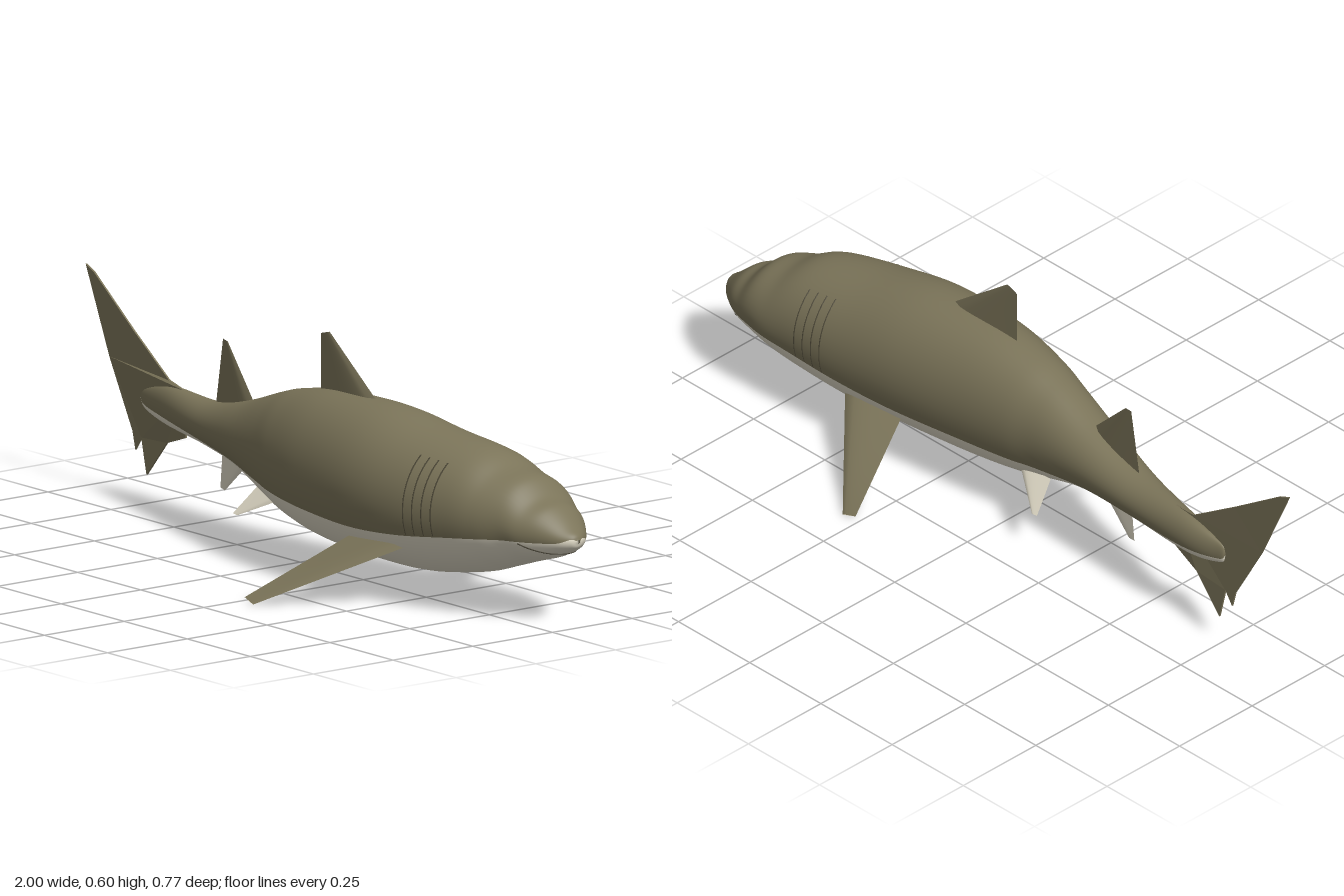
import * as THREE from 'three';

const mat = (name, color) =>
  new THREE.MeshStandardMaterial({ name, color, side: THREE.DoubleSide });

// Body stations: x, top, bottom, right edge z, left edge z, height of the colour line
const STATIONS = [
  [-0.765, 0.275, 0.262, -0.110, -0.105, 0.268],
  [-0.745, 0.296, 0.238, -0.119, -0.099, 0.252],
  [-0.64, 0.318, 0.216, -0.138, -0.070, 0.243],
  [-0.43, 0.321, 0.208, -0.130, -0.010, 0.231],
  [-0.25, 0.360, 0.188, -0.125, 0.042, 0.216],
  [-0.10, 0.410, 0.140, -0.127, 0.083, 0.200],
  [0.00, 0.438, 0.110, -0.139, 0.112, 0.190],
  [0.15, 0.459, 0.085, -0.155, 0.141, 0.182],
  [0.36, 0.460, 0.073, -0.178, 0.158, 0.175],
  [0.54, 0.433, 0.073, -0.190, 0.145, 0.184],
  [0.70, 0.408, 0.096, -0.198, 0.108, 0.200],
  [0.78, 0.372, 0.120, -0.200, 0.080, 0.207],
  [0.84, 0.352, 0.140, -0.193, 0.050, 0.211],
  [0.885, 0.312, 0.154, -0.180, 0.028, 0.212],
  [0.925, 0.292, 0.166, -0.162, 0.002, 0.212],
  [0.97, 0.252, 0.186, -0.130, -0.035, 0.214],
  [0.993, 0.234, 0.200, -0.103, -0.060, 0.224],
  [1.0, 0.222, 0.214, -0.088, -0.076, 0.220],
];
const spline = (a, b, c) => new THREE.CatmullRomCurve3(
  STATIONS.map((s) => new THREE.Vector3(s[a], s[b], s[c])), false, 'catmullrom', 0.5);
const heights = spline(0, 1, 2);
const widths = spline(3, 4, 5);

function section(t) {
  const p = heights.getPoint(t), q = widths.getPoint(t);
  const cy = (p.y + p.z) / 2, h = (p.y - p.z) / 2;
  const cz = (q.x + q.y) / 2, w = (q.y - q.x) / 2;
  const seam = Math.asin(THREE.MathUtils.clamp((q.z - cy) / h, -0.95, 0.95));
  const at = (a, off = 0) =>
    new THREE.Vector3(p.x, cy + (h + off) * Math.sin(a), cz + (w + off) * Math.cos(a));
  return { at, seam, cz };
}

function sectionAtX(x) {
  let lo = 0, hi = 1;
  for (let i = 0; i < 30; i++) {
    const m = (lo + hi) / 2;
    if (heights.getPoint(m).x < x) lo = m; else hi = m;
  }
  return section(lo);
}

const centreZ = (x) => (x < -0.74 ? -0.108 + (x + 0.74) * 0.05 : sectionAtX(x).cz);

// One closed skin; each ring is split at the colour line into back and belly
function bodyGeometry() {
  const rows = 150, back = 28, belly = 24, n = back + belly;
  const pos = [], backIdx = [], bellyIdx = [];
  for (let i = 0; i <= rows; i++) {
    const { at, seam } = section(i / rows);
    const arc = Math.PI - 2 * seam;
    for (let j = 0; j < n; j++) {
      const a = j < back
        ? seam + (arc * j) / back
        : seam + arc + ((2 * Math.PI - arc) * (j - back)) / belly;
      pos.push(...at(a).toArray());
      if (i === rows) continue;
      const k = (j + 1) % n, r = i * n;
      (j < back ? backIdx : bellyIdx).push(
        r + j, r + n + j, r + k, r + k, r + n + j, r + n + k);
    }
  }
  const g = new THREE.BufferGeometry();
  g.setAttribute('position', new THREE.Float32BufferAttribute(pos, 3));
  g.setIndex([...backIdx, ...bellyIdx]);
  g.addGroup(0, backIdx.length, 0);
  g.addGroup(backIdx.length, bellyIdx.length, 1);
  g.computeVertexNormals();
  return g;
}

// Lens-shaped fin between a root chord and a tip chord, one sheet per side
function fin(name, [rootLead, rootTrail, tipLead, tipTrail], thick, matA, matB) {
  const group = new THREE.Group();
  group.name = name;
  const [rl, rt, tl, tt] = [rootLead, rootTrail, tipLead, tipTrail].map((p) => new THREE.Vector3(...p));
  const normal = rt.clone().sub(rl).cross(tl.clone().sub(rl)).normalize();
  if (normal.y < 0) normal.negate();
  for (const side of [1, -1]) {
    const g = new THREE.PlaneGeometry(1, 1, 10, 6);
    const p = g.attributes.position;
    for (let i = 0; i < p.count; i++) {
      const u = p.getX(i) + 0.5, v = p.getY(i) + 0.5;
      const bulge = side * thick * (1 - 0.9 * v) * Math.sin(Math.PI * Math.sqrt(u));
      const q = rl.clone().lerp(rt, u).lerp(tl.clone().lerp(tt, u), v).addScaledVector(normal, bulge);
      p.setXYZ(i, q.x, q.y, q.z);
    }
    g.computeVertexNormals();
    const mesh = new THREE.Mesh(g, side > 0 ? matA : matB);
    mesh.name = name + (side > 0 ? 'FaceA' : 'FaceB');
    group.add(mesh);
  }
  return group;
}

// Fin standing on the curved centre line
const midFin = (name, pts, thick, m) =>
  fin(name, pts.map(([x, y]) => [x, y, centreZ(x)]), thick, m, m);

export function createModel() {
  const model = new THREE.Group();
  model.name = 'shark';
  const olive = mat('oliveSkin', 0x7b7459);
  const cream = mat('creamBelly', 0xdfd9c6);
  const dark = mat('darkCrease', 0x4e4938);
  const add = (name, geometry, material) => {
    const mesh = new THREE.Mesh(geometry, material);
    mesh.name = name;
    model.add(mesh);
  };

  add('body', bodyGeometry(), [olive, cream]);

  // Fins along the middle
  model.add(midFin('dorsalFin',
    [[0.33, 0.43], [0.07, 0.40], [0.107, 0.60], [0.07, 0.59]], 0.012, olive));
  model.add(midFin('secondDorsalFin',
    [[-0.22, 0.345], [-0.425, 0.29], [-0.36, 0.484], [-0.385, 0.488]], 0.009, olive));
  model.add(midFin('analFin',
    [[-0.235, 0.215], [-0.385, 0.225], [-0.375, 0.107], [-0.398, 0.11]], 0.007, cream));

  // Tail fin, bent along the centre line
  const outline = [[-1, 0.56], [-0.965, 0.545], [-0.8, 0.43], [-0.65, 0.33], [-0.57, 0.318],
    [-0.57, 0.2], [-0.66, 0.17], [-0.743, 0.075], [-0.765, 0.165], [-0.79, 0.13],
    [-0.802, 0.175], [-0.9, 0.345]];
  const tail = new THREE.ExtrudeGeometry(
    new THREE.Shape(outline.map(([x, y]) => new THREE.Vector2(x, y))),
    { depth: 0.005, bevelEnabled: false });
  const tp = tail.attributes.position;
  for (let i = 0; i < tp.count; i++) tp.setZ(i, tp.getZ(i) - 0.0025 + centreZ(tp.getX(i)));
  tail.computeVertexNormals();
  add('tailFin', tail, olive);

  for (const s of [1, -1]) {
    const side = s > 0 ? 'left' : 'right';
    // Paired fins
    model.add(fin(side + 'PectoralFin', [[0.58, 0.168, s * 0.09 - 0.01], [0.36, 0.168, s * 0.09 - 0.01],
      [0.30, 0.001, s * 0.385], [0.26, 0.012, s * 0.38]], 0.012, olive, cream));
    model.add(fin(side + 'PelvicFin', [[-0.01, 0.165, s * 0.06 - 0.02], [-0.13, 0.175, s * 0.06 - 0.03],
      [-0.135, 0.108, s * 0.125 - 0.035], [-0.153, 0.11, s * 0.125 - 0.035]], 0.006, cream, cream));

    // Gill slits hugging the flank
    for (let k = 0; k < 4; k++) {
      const { at, seam } = sectionAtX(0.58 + k * 0.028);
      const pts = [];
      for (let j = 0; j <= 10; j++) {
        const a = seam + 0.02 + ((0.85 - seam) * j) / 10;
        pts.push(at(s > 0 ? a : Math.PI - a, -0.0005));
      }
      add(side + 'GillSlit' + (k + 1),
        new THREE.TubeGeometry(new THREE.CatmullRomCurve3(pts), 20, 0.002, 5), dark);
    }
  }

  // Mouth crease curving under the snout
  const lip = [];
  for (let j = 0; j <= 16; j++) {
    const u = j / 8 - 1;
    lip.push(sectionAtX(0.962 - 0.075 * u * u).at(-Math.PI / 2 + u * 1.25, -0.001));
  }
  add('mouthCrease', new THREE.TubeGeometry(new THREE.CatmullRomCurve3(lip), 40, 0.0025, 5), dark);

  return model;
}
